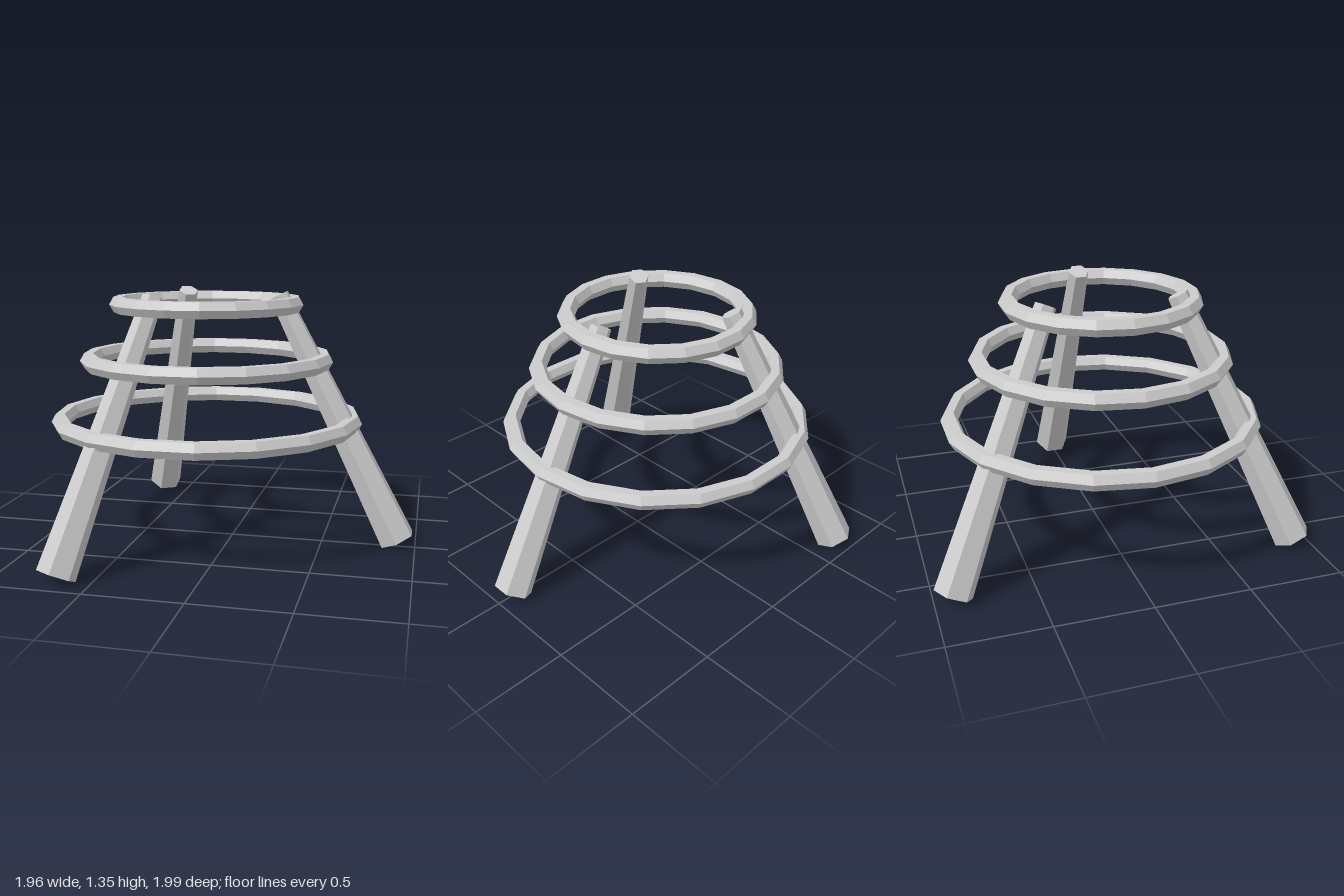
import * as THREE from 'three';

export function createModel() {
  const model = new THREE.Group();
  model.name = 'ringedTripod';
  const grey = new THREE.MeshStandardMaterial({ color: 0xcccccc, flatShading: true });
  grey.name = 'light grey';

  // Everything turns around one vertical axis, set off the middle of the bounds
  const frame = new THREE.Group();
  frame.name = 'frame';
  frame.position.x = -0.14;
  model.add(frame);

  // Hexagonal rings, narrowing upwards: [outer radius, height]
  const tube = 0.047;
  [['lowerRing', 0.842, 0.66], ['middleRing', 0.682, 0.985], ['upperRing', 0.52, 1.282]].forEach(([name, radius, y]) => {
    const ring = new THREE.Mesh(new THREE.TorusGeometry(radius - tube, tube, 6, 18).rotateX(Math.PI / 2), grey);
    ring.name = name;
    ring.position.y = y;
    frame.add(ring);
  });

  // Three tapered hexagonal legs leaning in towards the axis
  const foot = new THREE.Vector2(1.045, 0.04);
  const head = new THREE.Vector2(0.39, 1.332);
  const legGeometry = new THREE.CylinderGeometry(0.055, 0.1, foot.distanceTo(head), 6)
    .rotateZ(Math.atan2(foot.x - head.x, head.y - foot.y))
    .translate((foot.x + head.x) / 2, (foot.y + head.y) / 2, 0);
  ['leftLeg', 'backLeg', 'frontLeg'].forEach((name, i) => {
    const leg = new THREE.Mesh(legGeometry, grey);
    leg.name = name;
    leg.rotation.y = i * Math.PI * 2 / 3;
    frame.add(leg);
  });

  return model;
}
